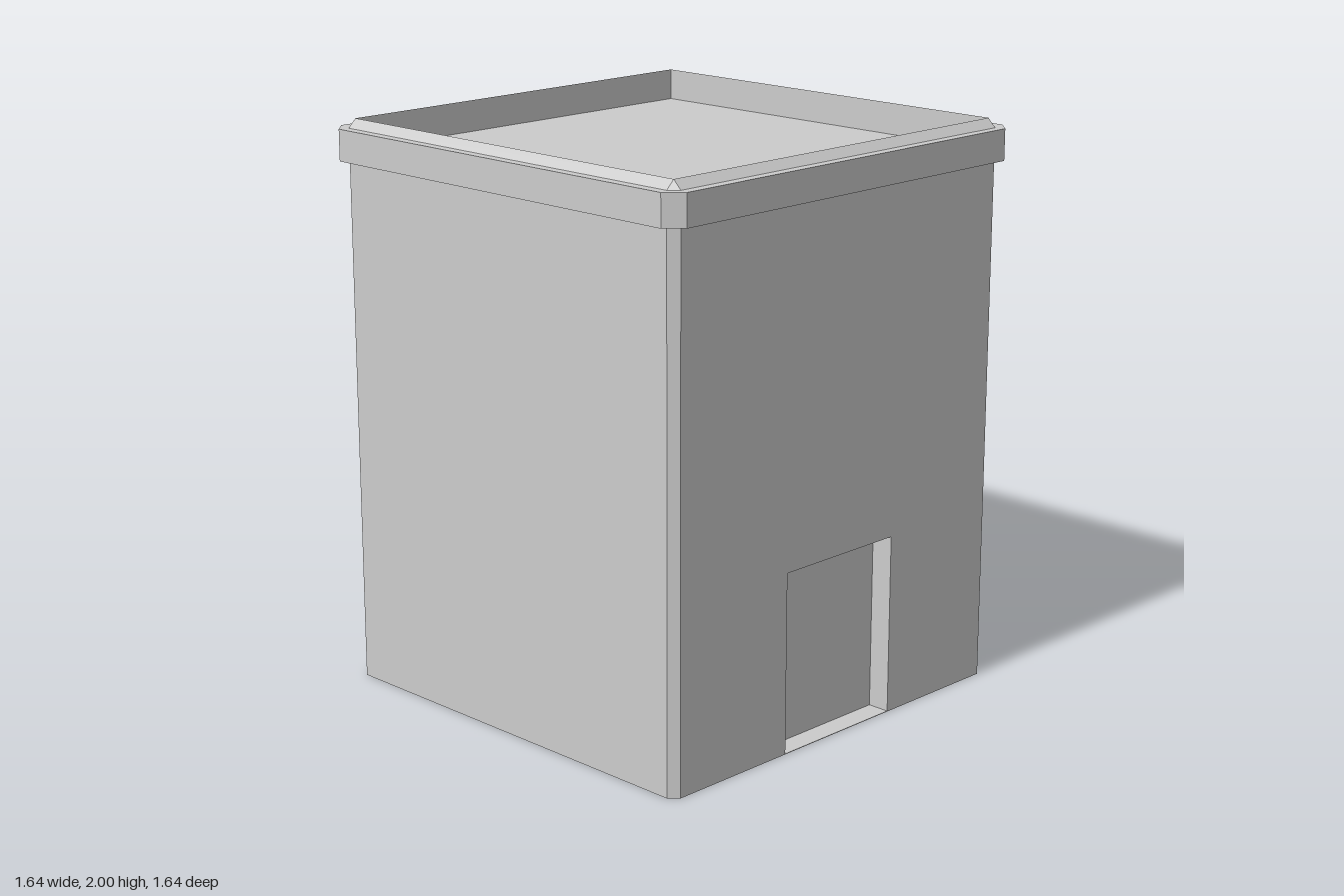
import * as THREE from 'three';

const HALF = 0.785, EDGE = 0.755;            // body half width, start of corner chamfer
const DOOR = { w: 0.26, y0: 0.002, y1: 0.635, depth: 0.08 };

const material = new THREE.MeshStandardMaterial({ color: 0xcccccc, flatShading: true });

// chamfered square at height y: h = half width, m = half length of the straight side
const ring = (h, m, y) =>
  [[-m, h], [m, h], [h, m], [h, -m], [m, -h], [-m, -h], [-h, -m], [-h, m]]
    .map(([x, z]) => new THREE.Vector3(x, y, z));

// skin a list of rings; skipped(ringIndex, side) leaves an opening
function loft(rings, skipped = () => false) {
  const points = [];
  const tri = (a, b, c) => {
    if (new THREE.Triangle(a, b, c).getArea() > 1e-8) points.push(a, b, c);
  };
  for (let r = 0; r < rings.length - 1; r++) {
    for (let i = 0; i < 8; i++) {
      if (skipped(r, i)) continue;
      const j = (i + 1) % 8, a = rings[r], b = rings[r + 1];
      tri(a[i], a[j], b[j]);
      tri(a[i], b[j], b[i]);
    }
  }
  const geometry = new THREE.BufferGeometry().setFromPoints(points);
  geometry.computeVertexNormals();
  return geometry;
}

function add(parent, name, geometry) {
  const mesh = new THREE.Mesh(geometry, material);
  mesh.name = name;
  parent.add(mesh);
  return mesh;
}

export function createModel() {
  const model = new THREE.Group();
  model.name = 'tower';

  // base and walls, with the front side left open for the door wall
  add(model, 'walls', loft(
    [ring(0, 0, 0), ring(HALF, EDGE, 0), ring(HALF, EDGE, 1.86)],
    (r, side) => r === 1 && side === 0));

  // front wall with the doorway cut out
  const wall = new THREE.Shape([[-EDGE, 0], [EDGE, 0], [EDGE, 1.86], [-EDGE, 1.86]]
    .map(([x, y]) => new THREE.Vector2(x, y)));
  wall.holes.push(new THREE.Path([[-DOOR.w, DOOR.y0], [-DOOR.w, DOOR.y1], [DOOR.w, DOOR.y1], [DOOR.w, DOOR.y0]]
    .map(([x, y]) => new THREE.Vector2(x, y))));
  add(model, 'frontWall', new THREE.ShapeGeometry(wall)).position.z = HALF;

  // recessed doorway: door panel, jambs, lintel and sill
  const doorway = new THREE.Group();
  doorway.name = 'doorway';
  const height = DOOR.y1 - DOOR.y0, midY = (DOOR.y0 + DOOR.y1) / 2, midZ = HALF - DOOR.depth / 2;
  add(doorway, 'doorPanel', new THREE.PlaneGeometry(2 * DOOR.w, height))
    .position.set(0, midY, HALF - DOOR.depth);
  for (const s of [-1, 1]) {
    const jamb = add(doorway, s > 0 ? 'leftJamb' : 'rightJamb', new THREE.PlaneGeometry(DOOR.depth, height));
    jamb.rotation.y = -s * Math.PI / 2;
    jamb.position.set(s * DOOR.w, midY, midZ);
    const slab = add(doorway, s > 0 ? 'lintel' : 'sill', new THREE.PlaneGeometry(2 * DOOR.w, DOOR.depth));
    slab.rotation.x = s * Math.PI / 2;
    slab.position.set(0, s > 0 ? DOOR.y1 : DOOR.y0, midZ);
  }
  model.add(doorway);

  // projecting band, bevelled parapet top and its inner face
  add(model, 'parapet', loft([
    ring(HALF, EDGE, 1.86), ring(0.82, 0.765, 1.86), ring(0.82, 0.765, 1.97),
    ring(HALF, EDGE, 1.97), ring(EDGE, EDGE, 2), ring(EDGE, EDGE, 1.89),
  ]));

  // sunken flat roof
  add(model, 'roof', loft([ring(EDGE, EDGE, 1.89), ring(0, 0, 1.89)]));

  return model;
}
